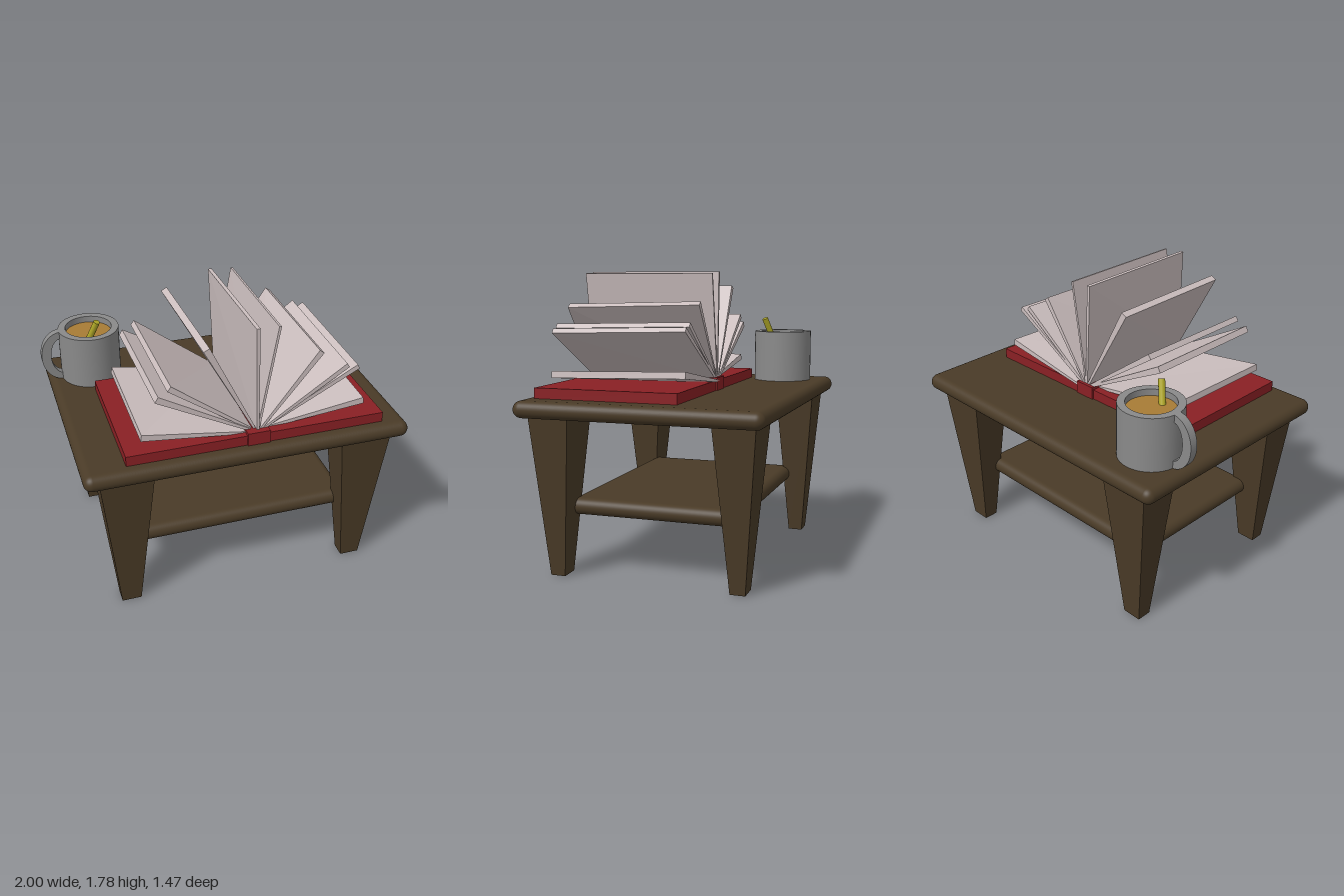
import * as THREE from 'three';
import { RoundedBoxGeometry } from 'three/addons/geometries/RoundedBoxGeometry.js';

const mat = (color, extra = {}) => new THREE.MeshStandardMaterial({ color, ...extra });
const wood = mat(0x4a3b27);
const red = mat(0x8a2024);
const paper = mat(0xcbbebe, { flatShading: true });
const ceramic = mat(0x8a8a8a);
const tea = mat(0xa87c35);
const yellow = mat(0xb0a828);

function add(parent, name, geometry, material, x = 0, y = 0, z = 0) {
  const mesh = new THREE.Mesh(geometry, material);
  mesh.name = name;
  mesh.position.set(x, y, z);
  parent.add(mesh);
  return mesh;
}

// Box whose bottom is scaled inwards
function taperedLeg(height, top, bottom) {
  const g = new THREE.BoxGeometry(top[0], height, top[1]);
  const p = g.attributes.position;
  for (let i = 0; i < p.count; i++) {
    if (p.getY(i) < 0) {
      p.setX(i, Math.sign(p.getX(i)) * bottom[0] / 2);
      p.setZ(i, Math.sign(p.getZ(i)) * bottom[1] / 2);
    }
  }
  g.computeVertexNormals();
  return g;
}

// Wedge-shaped leaf: thin at the spine, thicker at the free edge
function leafGeometry(front, back, thickness, zFront, zBack) {
  const g = new THREE.BoxGeometry(1, 1, 1);
  const p = g.attributes.position;
  for (let i = 0; i < p.count; i++) {
    const tip = p.getX(i) > 0;
    const isFront = p.getZ(i) > 0;
    const [tx, ty] = isFront ? front : back;
    const dx = tx - 0.07, dy = ty - 1.1, len = Math.hypot(dx, dy);
    const reach = tip ? 1 : 0.04;
    const offset = p.getY(i) * (tip ? thickness : 0.014);
    p.setXYZ(i, 0.07 + dx * reach - dy / len * offset,
      1.1 + dy * reach + dx / len * offset, isFront ? zFront : zBack);
  }
  g.computeVertexNormals();
  return g;
}

function createTable() {
  const table = new THREE.Group();
  table.name = 'table';
  table.position.x = 0.02;
  add(table, 'tableTop', new RoundedBoxGeometry(1.96, 0.1, 1.47, 5, 0.05), wood, 0, 1, 0);
  add(table, 'shelf', new RoundedBoxGeometry(1.42, 0.1, 1.02, 5, 0.05), wood, 0, 0.4, 0);
  const leg = taperedLeg(0.97, [0.32, 0.25], [0.12, 0.09]);
  for (const sx of [-1, 1]) {
    for (const sz of [-1, 1]) add(table, 'leg', leg, wood, sx * 0.73, 0.485, sz * 0.548);
  }
  return table;
}

function createBook() {
  const book = new THREE.Group();
  book.name = 'openBook';
  const cover = new THREE.BoxGeometry(0.71, 0.062, 0.87);
  add(book, 'coverRight', cover, red, -0.355, 1.081, 0.225);
  add(book, 'coverLeft', cover, red, 0.49, 1.081, 0.225);
  add(book, 'spine', new THREE.BoxGeometry(0.135, 0.08, 0.89), red, 0.0675, 1.09, 0.225);

  // Free edge at the front end, at the back end, thickness, front z, back z
  const leaves = [
    [[-0.61, 1.19], [-0.61, 1.2], 0.04, 0.62, -0.16],
    [[-0.515, 1.42], [-0.53, 1.43], 0.04, 0.62, -0.2],
    [[-0.44, 1.47], [-0.455, 1.485], 0.035, 0.61, -0.2],
    [[-0.23, 1.68], [-0.25, 1.68], 0.04, 0.62, -0.2],
    [[0.055, 1.775], [0.04, 1.775], 0.022, 0.64, -0.2],
    [[0.185, 1.765], [0.18, 1.765], 0.014, 0.63, -0.2],
    [[0.44, 1.57], [0.42, 1.59], 0.035, 0.63, -0.2],
    [[0.61, 1.455], [0.6, 1.475], 0.03, 0.63, -0.2],
    [[0.68, 1.43], [0.67, 1.45], 0.03, 0.62, -0.2],
    [[0.74, 1.18], [0.735, 1.2], 0.04, 0.6, -0.22],
  ];
  for (const leaf of leaves) add(book, 'pages', leafGeometry(...leaf), paper);
  return book;
}

function createMug() {
  const mug = new THREE.Group();
  mug.name = 'mug';
  mug.position.set(-0.69, 1.05, -0.433);

  // Each straight run is its own lathe so the edges stay sharp
  const profile = [[0, 0], [0.19, 0], [0.19, 0.33], [0.145, 0.33], [0.145, 0.03], [0, 0.03]];
  for (let i = 0; i < profile.length - 1; i++) {
    const run = [profile[i], profile[i + 1]].map(([x, y]) => new THREE.Vector2(x, y));
    add(mug, 'mugWall', new THREE.LatheGeometry(run, 40), ceramic);
  }
  const surface = add(mug, 'drink', new THREE.CircleGeometry(0.146, 40), tea, 0, 0.29, 0);
  surface.rotation.x = -Math.PI / 2;

  // Flat-sided half-ring handle
  const handle = new THREE.Shape();
  handle.absellipse(0, 0, 0.13, 0.165, Math.PI / 2, Math.PI * 1.5, false);
  handle.absellipse(0, 0, 0.07, 0.12, Math.PI * 1.5, Math.PI / 2, true);
  const handleGeometry = new THREE.ExtrudeGeometry(handle,
    { depth: 0.05, bevelEnabled: false, curveSegments: 20 });
  add(mug, 'handle', handleGeometry, ceramic, -0.18, 0.165, -0.025);

  // Stirring stick leaning in the drink
  const low = new THREE.Vector3(-0.035, 0.22, 0.055);
  const high = new THREE.Vector3(0.037, 0.413, 0.118);
  const dir = high.clone().sub(low);
  const stick = add(mug, 'stirrer', new THREE.CylinderGeometry(0.02, 0.02, dir.length(), 12), yellow);
  stick.position.copy(low).add(high).multiplyScalar(0.5);
  stick.quaternion.setFromUnitVectors(new THREE.Vector3(0, 1, 0), dir.normalize());
  return mug;
}

export function createModel() {
  const model = new THREE.Group();
  model.name = 'tableWithBookAndMug';
  model.add(createTable(), createBook(), createMug());
  return model;
}
